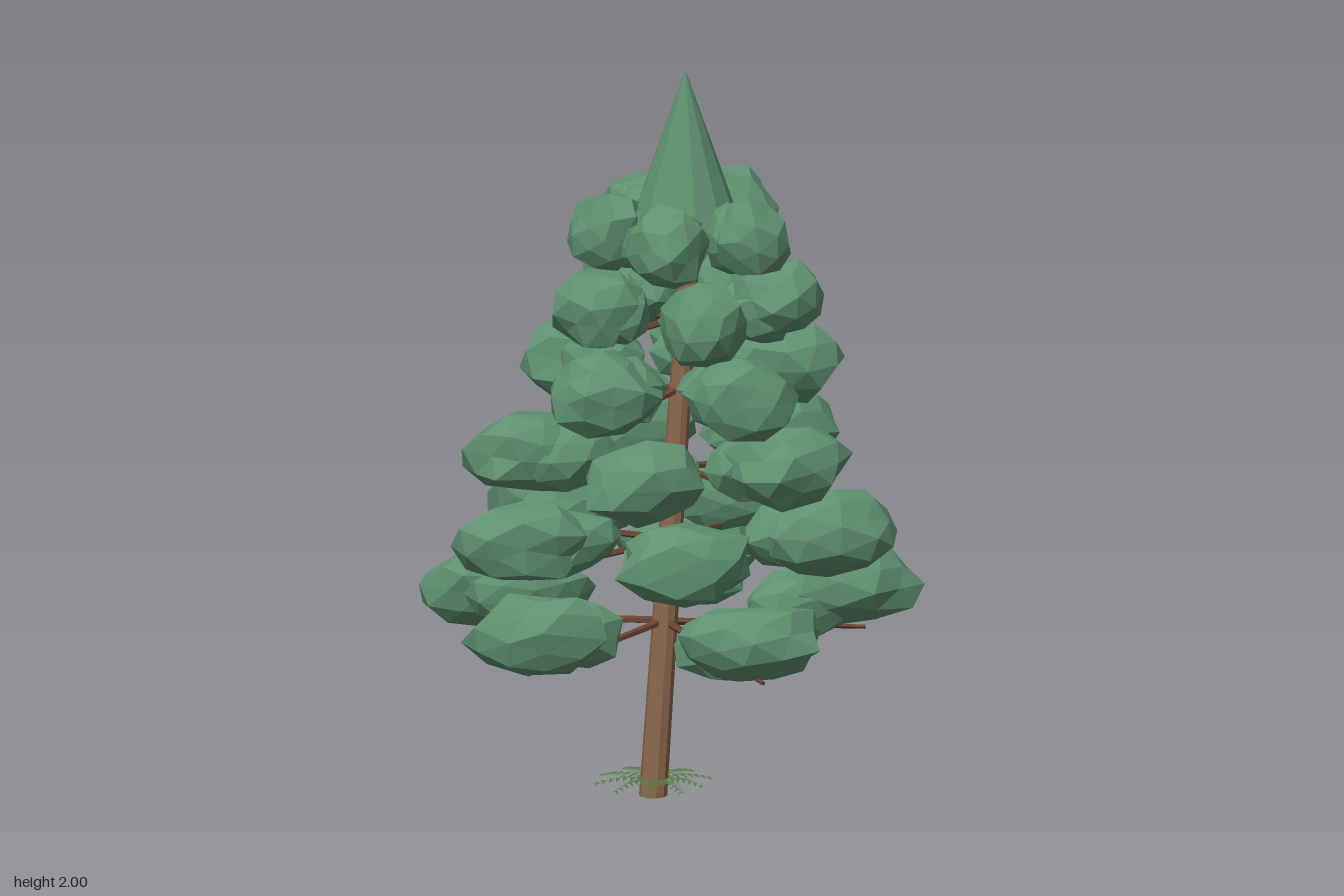
import * as THREE from 'three';
import { mergeVertices } from 'three/addons/utils/BufferGeometryUtils.js';

// seeded random numbers
let seed = 7;
const rand = () => {
  seed = (seed * 16807) % 2147483647;
  return seed / 2147483647;
};

const mat = (name, color) => {
  const m = new THREE.MeshStandardMaterial({ color, flatShading: true });
  m.name = name;
  return m;
};

// leaning trunk axis
const axis = (y) => new THREE.Vector3(-0.08 + 0.07 * y, y, -0.016 * y);

// foliage tiers: height, half sizes, and clump centres [x, z, optional lift]
const tiers = [
  { y: 0.53, size: [0.192, 0.11, 0.092], at: [[0.45, 0, 0.02], [0.1, 0.465], [-0.445, 0.27], [-0.455, -0.3], [0.12, -0.465, 0.015]] },
  { y: 0.755, size: [0.185, 0.112, 0.1], at: [[0.37, 0.18], [-0.08, 0.435], [-0.44, 0.1], [-0.27, -0.37], [0.25, -0.34]] },
  { y: 0.955, size: [0.17, 0.11, 0.1], at: [[0.295, -0.16], [0.23, 0.25], [-0.18, 0.34], [-0.4, -0.07], [-0.07, -0.38]] },
  { y: 1.17, size: [0.15, 0.11, 0.106], at: [[0.285, -0.03], [0.1, 0.29], [-0.26, 0.18], [-0.24, -0.22], [0.13, -0.29]] },
  { y: 1.37, size: [0.125, 0.11, 0.108], at: [[0.25, 0.07], [0, 0.26], [-0.25, 0.05], [-0.1, -0.21], [0.19, -0.19]] },
  { y: 1.57, size: [0.106, 0.108, 0.1], at: [[0.16, 0.13], [-0.08, 0.19], [-0.205, -0.02], [-0.07, -0.22], [0.17, -0.13]] },
];

// faceted clump with uneven corners
function clumpGeometry([sx, sy, sz], scale) {
  const raw = new THREE.IcosahedronGeometry(scale, 1);
  raw.deleteAttribute('normal');
  raw.deleteAttribute('uv');
  const g = mergeVertices(raw, 1e-3);
  g.rotateX(rand() * 6).rotateY(rand() * 6);
  const p = g.attributes.position;
  for (let i = 0; i < p.count; i++) {
    const k = 0.86 + rand() * 0.3;
    p.setXYZ(i, p.getX(i) * k * sx, p.getY(i) * k * sy, p.getZ(i) * k * sz);
  }
  g.computeVertexNormals();
  return g;
}

// tapered rod between two points
function rod(a, b, r0, r1, material) {
  const dir = b.clone().sub(a);
  const mesh = new THREE.Mesh(new THREE.CylinderGeometry(r1, r0, dir.length(), 5), material);
  mesh.position.copy(a).add(b).multiplyScalar(0.5);
  mesh.quaternion.setFromUnitVectors(new THREE.Vector3(0, 1, 0), dir.normalize());
  return mesh;
}

// fern frond along +x: a thin arched stem with paired leaflets
function frondGeometry(length) {
  const v = [];
  const lift = (x) => 0.014 * Math.sin((x / length) * Math.PI);
  const n = 8;
  for (let i = 1; i <= n; i++) {
    const x = (length * i) / (n + 0.5);
    const back = (length * (i - 1)) / (n + 0.5);
    const leaf = 0.036 * (1 - 0.7 * (i / n)) + 0.006;
    v.push(back, lift(back), -0.002, back, lift(back), 0.002, x, lift(x), 0);
    for (const s of [-1, 1]) {
      v.push(x - 0.007, lift(x), 0, x + 0.007, lift(x), 0, x + leaf * 0.5, lift(x) - 0.006, s * leaf);
    }
  }
  const g = new THREE.BufferGeometry();
  g.setAttribute('position', new THREE.Float32BufferAttribute(v, 3));
  g.computeVertexNormals();
  return g;
}

export function createModel() {
  seed = 7;
  const model = new THREE.Group();
  model.name = 'pineTree';
  const needles = mat('needleGreen', 0x5e9070);
  const bark = mat('barkBrown', 0x8c674b);
  const branchBark = mat('branchBrown', 0x6b4333);
  const fern = mat('fernGreen', 0x527a44);
  fern.side = THREE.DoubleSide;

  // trunk, sheared along its lean
  const trunkGeo = new THREE.CylinderGeometry(0.026, 0.038, 1.65, 10);
  trunkGeo.translate(0, 0.825, 0);
  const p = trunkGeo.attributes.position;
  for (let i = 0; i < p.count; i++) {
    const c = axis(p.getY(i));
    p.setX(i, p.getX(i) + c.x);
    p.setZ(i, p.getZ(i) + c.z);
  }
  trunkGeo.computeVertexNormals();
  const trunk = new THREE.Mesh(trunkGeo, bark);
  trunk.name = 'trunk';
  model.add(trunk);

  // pointed crown
  const crown = new THREE.Mesh(new THREE.ConeGeometry(0.137, 0.39, 12), needles);
  crown.name = 'crown';
  crown.position.set(0.013, 1.805, -0.026);
  model.add(crown);

  // tiers of branches, each carrying an outer clump and a smaller inner one
  tiers.forEach((tier, t) => {
    const group = new THREE.Group();
    group.name = 'tier' + (t + 1);
    for (const [x, z, lift = 0] of tier.at) {
      const start = axis(tier.y - 0.05);
      const along = (k, y) => new THREE.Vector3(
        start.x + (x - start.x) * k, y, start.z + (z - start.z) * k);

      const outer = new THREE.Mesh(clumpGeometry(tier.size, 1), needles);
      outer.name = 'outerClump';
      outer.position.copy(along(1, tier.y + lift + (rand() - 0.5) * 0.015));

      const inner = new THREE.Mesh(clumpGeometry(tier.size, 0.87), needles);
      inner.name = 'innerClump';
      inner.position.copy(along(0.79, tier.y - 0.012 + (rand() - 0.5) * 0.02));

      const tip = along(t === 0 ? 1.1 : 1, tier.y - 0.095);
      const branch = rod(start, tip, 0.011, 0.006, branchBark);
      branch.name = 'branch';
      group.add(outer, inner, branch);
    }
    model.add(group);
  });

  // ring of fern fronds around the base
  const ferns = new THREE.Group();
  ferns.name = 'ferns';
  ferns.position.set(-0.077, 0.04, 0);
  const count = 10;
  for (let i = 0; i < count; i++) {
    const frond = new THREE.Mesh(frondGeometry(0.145 + rand() * 0.02), fern);
    frond.name = 'frond';
    frond.rotation.y = (i / count) * Math.PI * 2;
    ferns.add(frond);
  }
  model.add(ferns);

  return model;
}
